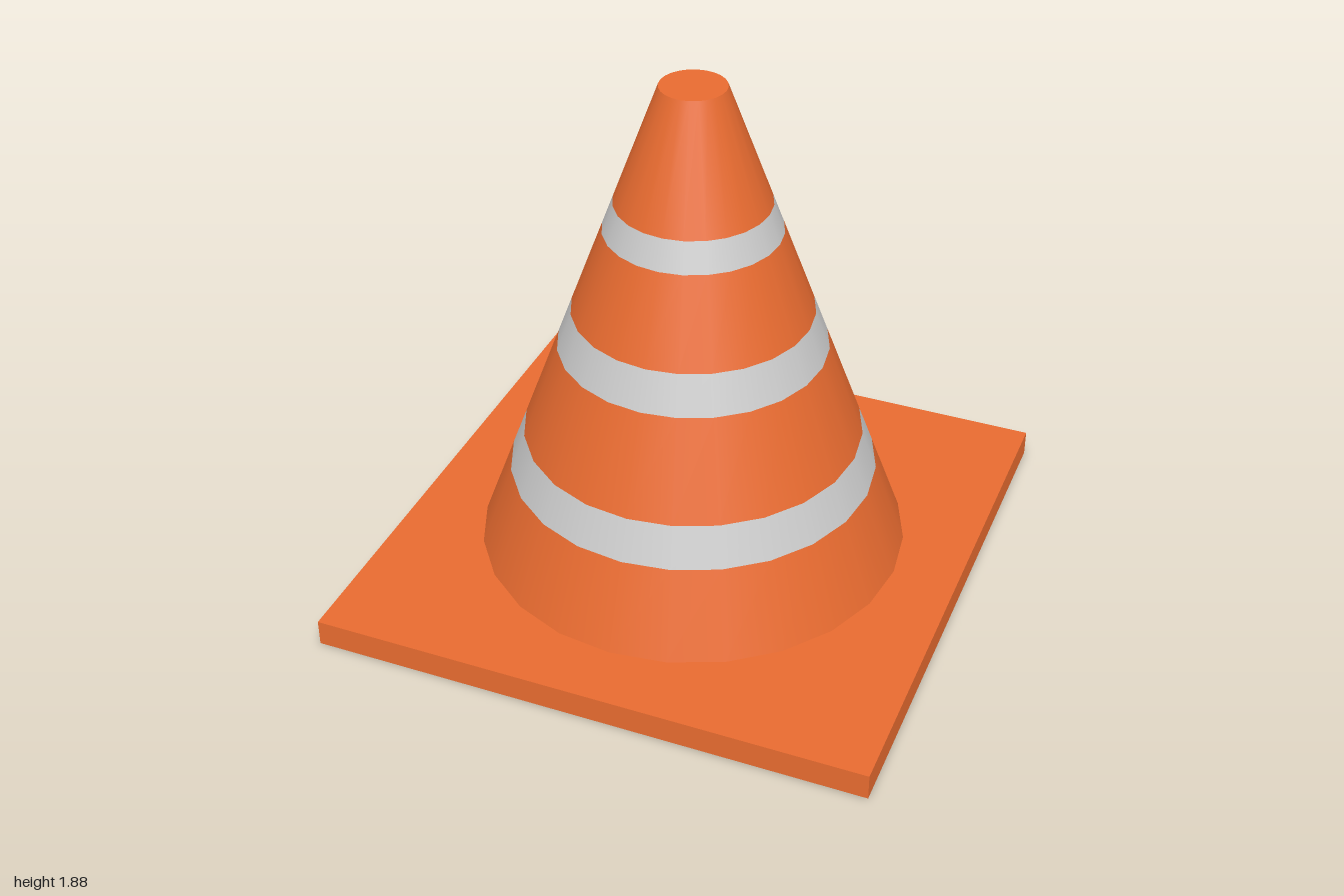
import * as THREE from 'three';

export function createModel() {
  const model = new THREE.Group();
  const orange = new THREE.MeshStandardMaterial({ color: 0xe86b30 });
  const grey = new THREE.MeshStandardMaterial({ color: 0xcccccc });
  const add = (name, geometry, material, y) => {
    const mesh = new THREE.Mesh(geometry, material);
    mesh.name = name;
    mesh.position.y = y;
    model.add(mesh);
  };

  const SIDES = 24, BOTTOM = 0.096, TOP = 1.88, R_BOTTOM = 0.77, R_TOP = 0.115;
  const radiusAt = (y) => THREE.MathUtils.mapLinear(y, BOTTOM, TOP, R_BOTTOM, R_TOP);

  // Square base plate
  add('basePlate', new THREE.BoxGeometry(2, BOTTOM, 2), orange, BOTTOM / 2);

  // Cone body, split into alternating orange sections and grey reflective bands
  const levels = [BOTTOM, 0.405, 0.55, 0.9, 1.04, 1.35, 1.455, TOP];
  for (let i = 0; i < levels.length - 1; i++) {
    const [low, high] = [levels[i], levels[i + 1]];
    const isBand = i % 2 === 1;
    const section = new THREE.CylinderGeometry(radiusAt(high), radiusAt(low), high - low, SIDES, 1, true);
    add(isBand ? 'reflectiveBand' : 'coneSection', section, isBand ? grey : orange, (low + high) / 2);
  }

  // Flat cap closing the tip
  add('topCap', new THREE.CircleGeometry(R_TOP, SIDES).rotateX(-Math.PI / 2), orange, TOP);

  return model;
}
